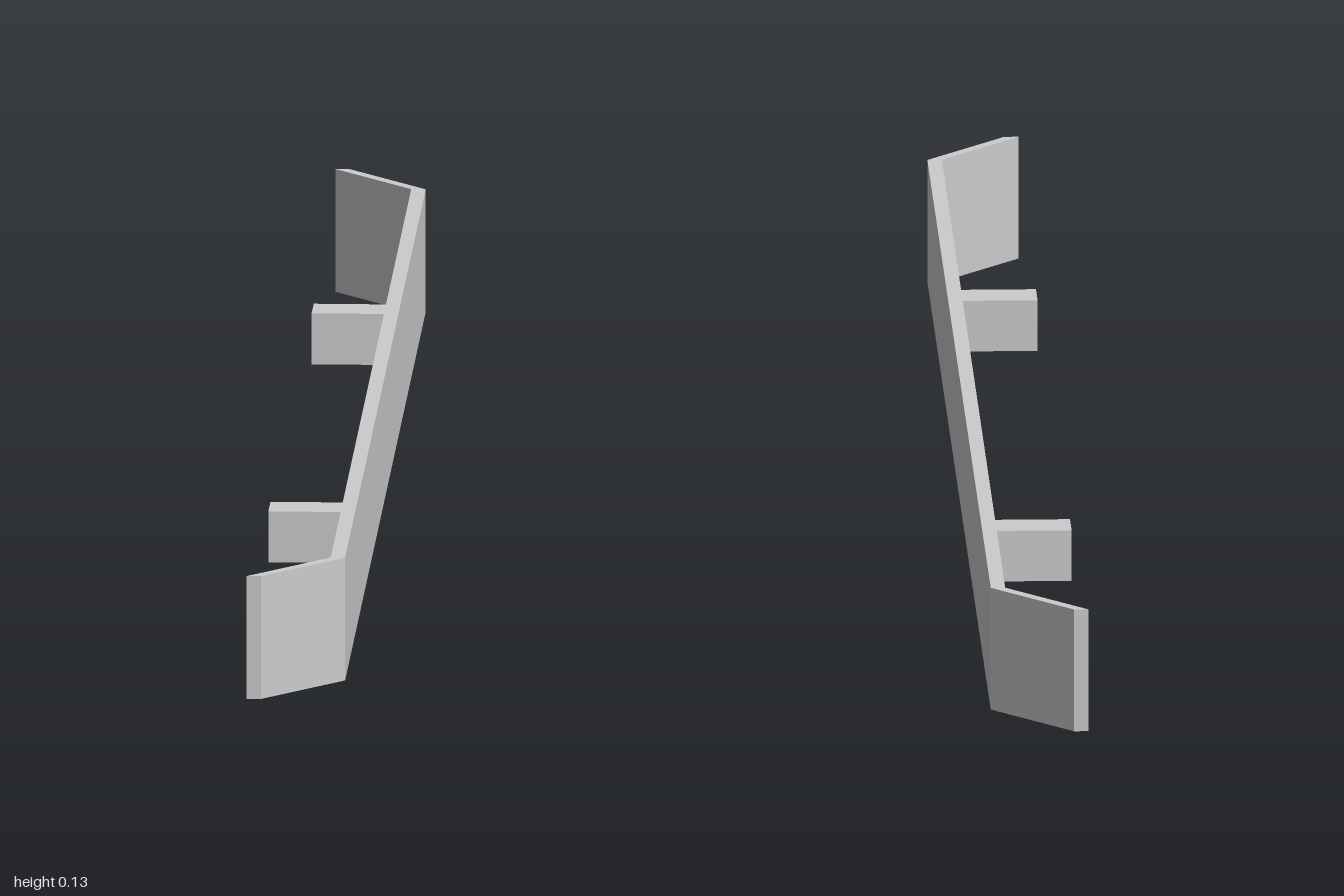
import * as THREE from 'three';

export function createModel() {
  const model = new THREE.Group();
  const grey = new THREE.MeshStandardMaterial({ color: 0xcccccc });
  grey.name = 'light grey';

  const height = 0.13;
  const outerX = 0.049, tipX = -0.049, thickness = 0.015;
  const bendZ = 0.905, endZ = 1;

  // Long rail with both ends bent back, extruded upwards from its plan
  const plan = new THREE.Shape([
    [outerX, -bendZ], [outerX, bendZ],
    [tipX + thickness, endZ], [tipX, endZ],
    [outerX - thickness, bendZ], [outerX - thickness, -bendZ],
    [tipX, -endZ], [tipX + thickness, -endZ],
  ].map(([x, z]) => new THREE.Vector2(x, z)));
  const railGeometry = new THREE.ExtrudeGeometry(plan, { depth: height, bevelEnabled: false });
  railGeometry.rotateX(-Math.PI / 2);
  const rail = new THREE.Mesh(railGeometry, grey);
  rail.name = 'bumperRail';
  model.add(rail);

  // Two mounting blocks on the inner side
  const blockLength = outerX - thickness - tipX;
  for (const [name, z] of [['frontMount', 0.482], ['rearMount', -0.491]]) {
    const mount = new THREE.Mesh(new THREE.BoxGeometry(blockLength, 0.054, 0.047), grey);
    mount.name = name;
    mount.position.set(tipX + blockLength / 2, height / 2, z);
    model.add(mount);
  }

  return model;
}
